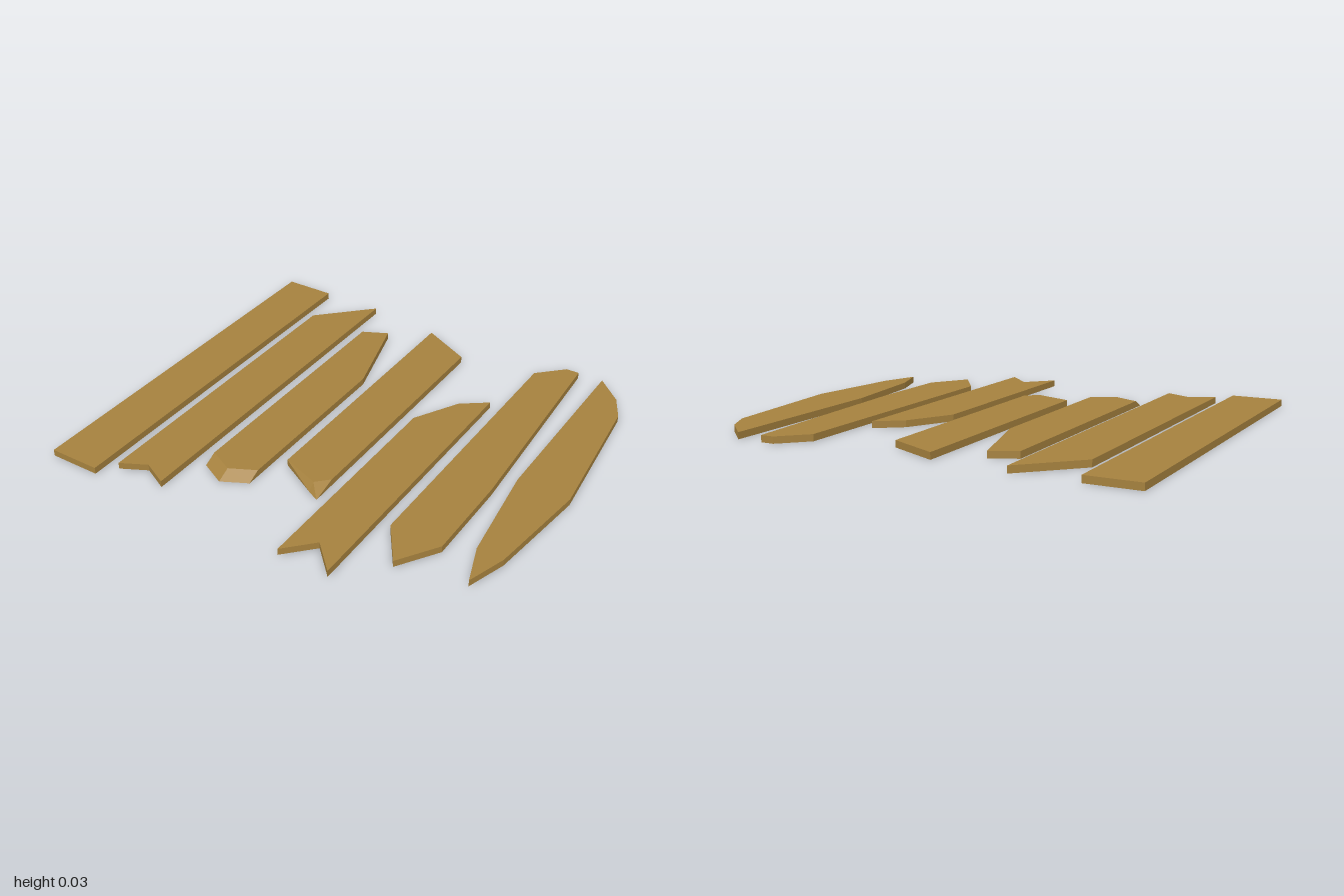
import * as THREE from 'three';

const THICKNESS = 0.03;

// Outline corners are [x, z] on the top face; an optional third value is the z
// of the same corner on the underside, which gives a slanted end cut.
const PLANKS = {
  straightPlank: [[-1, -0.88], [-0.765, -0.88], [-0.765, 0.88], [-1, 0.88]],
  notchedPlank: [[-0.705, -0.65], [-0.473, -0.88], [-0.473, 0.8], [-0.59, 0.742], [-0.705, 0.8]],
  slantedPointPlank: [[-0.41, -0.65], [-0.295, -0.705], [-0.18, -0.295],
    [-0.18, 0.525, 0.585], [-0.295, 0.582, 0.643], [-0.41, 0.525, 0.585]],
  splinteredPlank: [[-0.117, -0.825], [0.115, -0.707], [0.115, 0.41, 0.525],
    [0.06, 0.465, 0.497], [-0.117, 0.4]],
  forkedPlank: [[0.177, -0.15], [0.292, -0.355], [0.408, -0.44], [0.408, 0.88],
    [0.292, 0.762], [0.177, 0.88]],
  pointedPlank: [[0.47, -0.767], [0.585, -0.88], [0.645, -0.88], [0.703, 0.115],
    [0.703, 0.527], [0.587, 0.7], [0.47, 0.527]],
  shardPlank: [[0.763, -0.88], [0.88, -0.767], [0.938, -0.65], [1, 0], [0.938, 0.468],
    [0.88, 0.64], [0.82, 0.465], [0.763, 0]],
};

function plankGeometry(outline) {
  const shape = new THREE.Shape(outline.map(([x, z]) => new THREE.Vector2(x, z)));
  const geometry = new THREE.ExtrudeGeometry(shape, { depth: THICKNESS, bevelEnabled: false });
  geometry.rotateX(Math.PI / 2).translate(0, THICKNESS, 0);

  // Slide the underside corners of slanted cuts
  const pos = geometry.attributes.position;
  for (let i = 0; i < pos.count; i++) {
    if (pos.getY(i) > THICKNESS / 2) continue;
    const corner = outline.find(([x, z]) =>
      Math.hypot(pos.getX(i) - x, pos.getZ(i) - z) < 1e-4);
    if (corner && corner[2] !== undefined) pos.setZ(i, corner[2]);
  }
  geometry.computeVertexNormals();
  return geometry;
}

export function createModel() {
  const group = new THREE.Group();
  group.name = 'brokenPlanks';
  const wood = new THREE.MeshStandardMaterial({ color: 0xa5813e, flatShading: true });
  for (const [name, outline] of Object.entries(PLANKS)) {
    const plank = new THREE.Mesh(plankGeometry(outline), wood);
    plank.name = name;
    group.add(plank);
  }
  return group;
}
